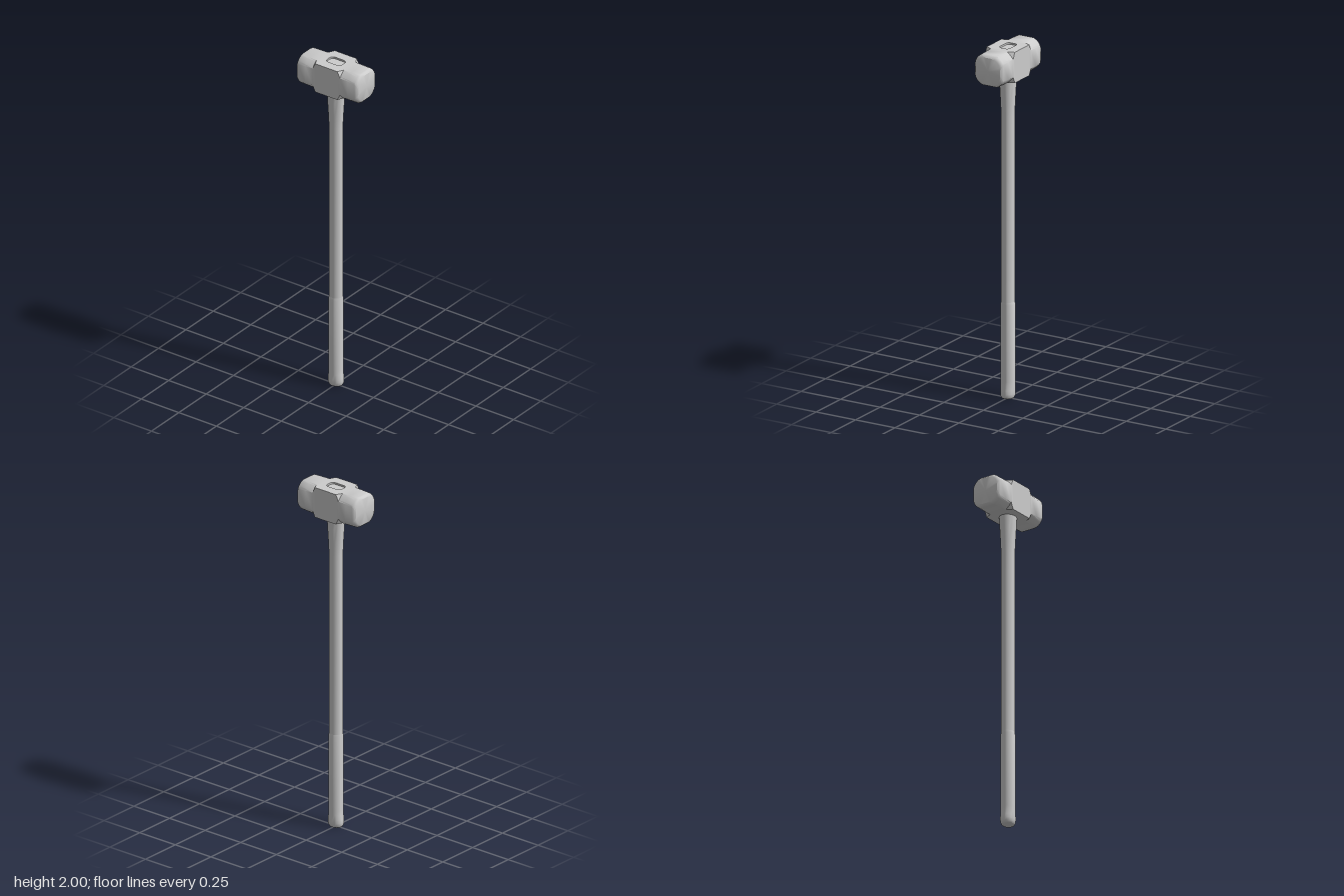
import * as THREE from 'three';
import { toCreasedNormals, mergeVertices } from 'three/addons/utils/BufferGeometryUtils.js';

// Closed skin over rings stacked along +y; each ring is { y, pts: [[x, z], ...] } counterclockwise from above
function loft(rings, crease) {
  const n = rings[0].pts.length, pos = [], idx = [];
  for (const r of rings) for (const [x, z] of r.pts) pos.push(x, r.y, z);
  for (let i = 0; i < rings.length - 1; i++) {
    for (let j = 0; j < n; j++) {
      const a = i * n + j, b = i * n + (j + 1) % n;
      idx.push(a, b, b + n, a, b + n, a + n);
    }
  }
  const top = (rings.length - 1) * n, base = pos.length / 3;
  pos.push(0, rings[0].y, 0, 0, rings[rings.length - 1].y, 0);
  for (let j = 0; j < n; j++) {
    const k = (j + 1) % n;
    idx.push(base, k, j, base + 1, top + j, top + k);
  }
  const g = new THREE.BufferGeometry();
  g.setAttribute('position', new THREE.Float32BufferAttribute(pos, 3));
  g.setIndex(idx);
  return toCreasedNormals(g, crease);
}

function ellipse(rx, rz, n = 28) {
  return Array.from({ length: n }, (_, i) => {
    const t = (i / n) * Math.PI * 2;
    return [rx * Math.cos(t), -rz * Math.sin(t)];
  });
}

// Square with cut corners; bulge 0 gives flat cuts, 1 gives round ones
function cutSquare(half, cut, bulge, steps = 6) {
  const pts = [];
  for (let k = 0; k < 4; k++) {
    for (let i = 0; i <= steps; i++) {
      const s = i / steps, t = s * Math.PI / 2;
      let u = half - cut + cut * THREE.MathUtils.lerp(1 - s, Math.cos(t), bulge);
      let v = half - cut + cut * THREE.MathUtils.lerp(s, Math.sin(t), bulge);
      for (let q = 0; q < k; q++) [u, v] = [-v, u];
      pts.push([u, -v]);
    }
  }
  return pts;
}

// Rounded oblong outline of the eye
function oblong(path, w, d, r) {
  path.moveTo(-w + r, -d);
  path.lineTo(w - r, -d);
  path.quadraticCurveTo(w, -d, w, -d + r);
  path.lineTo(w, d - r);
  path.quadraticCurveTo(w, d, w - r, d);
  path.lineTo(-w + r, d);
  path.quadraticCurveTo(-w, d, -w, d - r);
  path.lineTo(-w, -d + r);
  path.quadraticCurveTo(-w, -d, -w + r, -d);
  return path;
}

function extrudeUp(shape, y0, y1) {
  const g = new THREE.ExtrudeGeometry(shape, { depth: y1 - y0, bevelEnabled: false, curveSegments: 8 });
  return g.rotateX(-Math.PI / 2).translate(0, y0, 0);
}

export function createModel() {
  const model = new THREE.Group();
  model.name = 'sledgehammer';
  const gray = new THREE.MeshStandardMaterial({ color: 0xcccccc });
  gray.name = 'plain gray';
  const add = (parent, name, geometry) => {
    const m = new THREE.Mesh(geometry, gray);
    m.name = name;
    parent.add(m);
    return m;
  };

  const head = new THREE.Group();
  head.name = 'head';
  model.add(head);
  const bottom = 1.825, top = 2, mid = (bottom + top) / 2;

  // Square middle of the head with the eye through it
  const block = new THREE.Shape([[-0.075, -0.089], [0.075, -0.089], [0.075, 0.089], [-0.075, 0.089]]
    .map(([x, y]) => new THREE.Vector2(x, y)));
  block.holes.push(oblong(new THREE.Path(), 0.05, 0.032, 0.025));
  add(head, 'eyeBlock', extrudeUp(block, bottom, top));

  // Two striking ends: distance from the middle, half size, corner cut, roundness
  const sections = [
    [0.075, 0.089, 0.003, 0],
    [0.091, 0.089, 0.036, 0.15],
    [0.14, 0.089, 0.038, 0.25],
    [0.188, 0.089, 0.043, 0.45],
    [0.198, 0.085, 0.05, 0.75],
    [0.205, 0.077, 0.06, 1],
  ];
  const endGeometry = loft(sections.map(([y, h, c, b]) => ({ y, pts: cutSquare(h, c, b) })), 0.62);
  endGeometry.scale(0.0875 / 0.089, 1, 1).rotateZ(-Math.PI / 2);
  for (const [name, turn] of [['leftStrikingEnd', 0], ['rightStrikingEnd', Math.PI]]) {
    const end = add(head, name, endGeometry);
    end.position.y = mid;
    end.rotation.y = turn;
  }

  // Handle end sunk slightly into the eye
  add(model, 'handleTip', extrudeUp(oblong(new THREE.Shape(), 0.0498, 0.0318, 0.025), 1.9, 1.99));

  // Oval shaft: height, half width, half depth
  const shaft = [
    [0.54, 0.039, 0.036],
    [1.6, 0.039, 0.036],
    [1.68, 0.043, 0.039],
    [1.76, 0.048, 0.043],
    [1.827, 0.052, 0.045],
  ];
  const oval = ([y, rx, rz]) => ({ y, pts: ellipse(rx, rz) });
  add(model, 'handleShaft', loft(shaft.map(oval), 0.6));

  // Thicker grip with a flared knob
  const grip = [
    [0, 0.03, 0.026],
    [0.004, 0.038, 0.033],
    [0.014, 0.044, 0.038],
    [0.03, 0.046, 0.04],
    [0.05, 0.045, 0.04],
    [0.075, 0.041, 0.04],
    [0.1, 0.04, 0.04],
    [0.535, 0.04, 0.04],
    [0.55, 0.039, 0.036],
  ];
  add(model, 'grip', loft(grip.map(oval), 0.6));

  return model;
}
